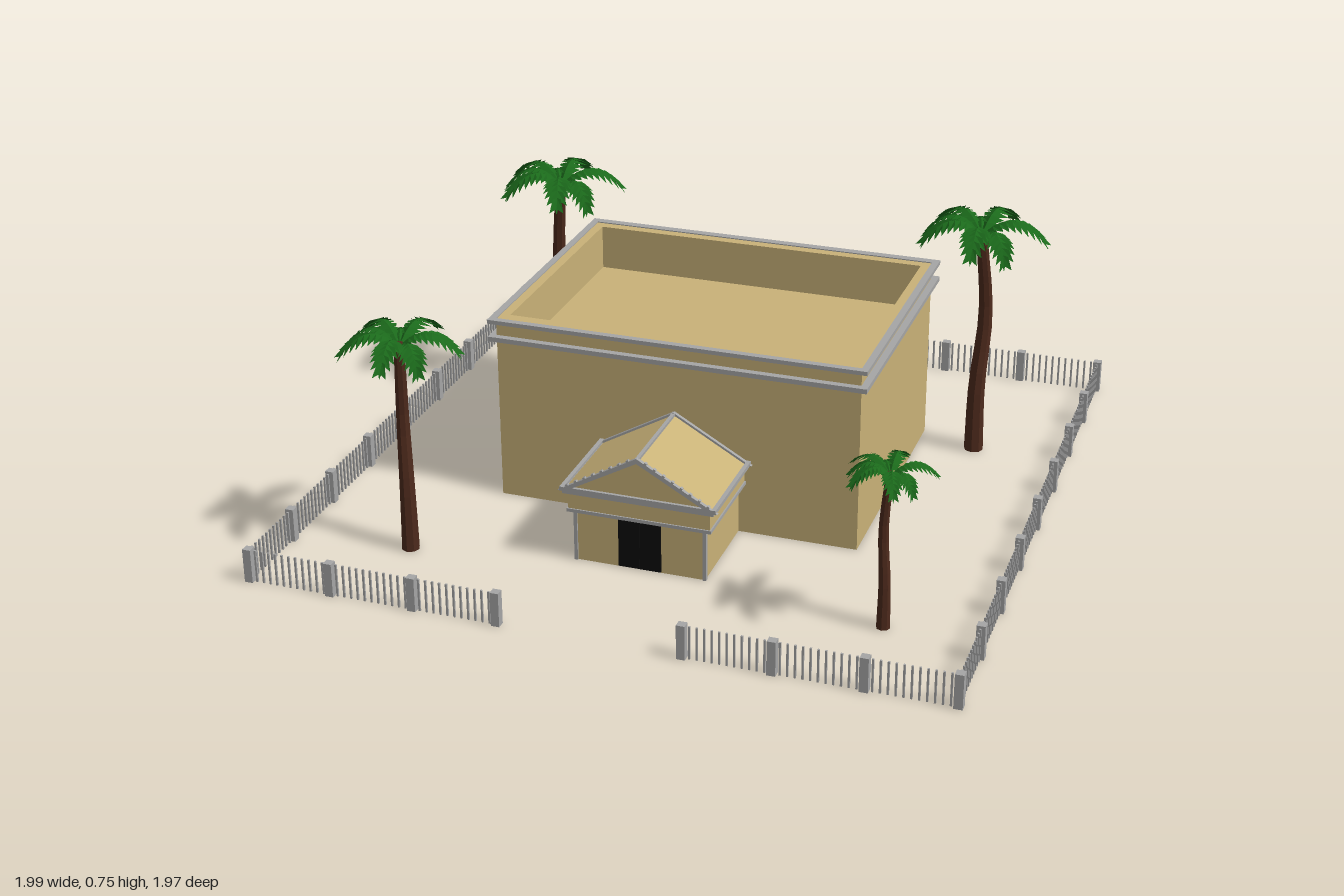
import * as THREE from 'three';
import { mergeGeometries } from 'three/addons/utils/BufferGeometryUtils.js';

const mat = (color, extra = {}) => {
  const m = new THREE.MeshStandardMaterial({ color, ...extra });
  return m;
};
const SAND = mat(0xc9b278);
const STONE = mat(0xa6a6a6);
const BLACK = mat(0x0c0c0c);
const BARK = mat(0x4d2a1c, { flatShading: true });
const LEAF = mat(0x1b6a1b, { flatShading: true, side: THREE.DoubleSide });

function add(parent, name, geometry, material) {
  const mesh = new THREE.Mesh(geometry, material);
  mesh.name = name;
  parent.add(mesh);
  return mesh;
}

// Box given by its limits on each axis
function block(x0, x1, y0, y1, z0, z1) {
  return new THREE.BoxGeometry(x1 - x0, y1 - y0, z1 - z0)
    .translate((x0 + x1) / 2, (y0 + y1) / 2, (z0 + z1) / 2);
}

// Rectangular ring lying flat; rectangles are [halfWidth, zBack, zFront]
function ring(outer, inner, y0, y1) {
  const corners = ([w, b, f]) => [[-w, -f], [w, -f], [w, -b], [-w, -b]].map(([x, y]) => new THREE.Vector2(x, y));
  const shape = new THREE.Shape(corners(outer));
  shape.holes.push(new THREE.Path(corners(inner).reverse()));
  return new THREE.ExtrudeGeometry(shape, { depth: y1 - y0, bevelEnabled: false })
    .rotateX(-Math.PI / 2).translate(0, y0, 0);
}

const gable = (halfWidth, base, apex) => [[-halfWidth, base], [halfWidth, base], [0, apex]]
  .map(([x, y]) => new THREE.Vector2(x, y));

function gableSolid(points, hole, z0, z1) {
  const shape = new THREE.Shape(points);
  if (hole) shape.holes.push(new THREE.Path(hole.slice().reverse()));
  return new THREE.ExtrudeGeometry(shape, { depth: z1 - z0, bevelEnabled: false }).translate(0, 0, z0);
}

function makeHall() {
  const g = new THREE.Group();
  g.name = 'hall';
  const wall = [0.535, -0.52, 0.28], trim = [0.555, -0.545, 0.3];
  add(g, 'hallBody', block(-0.535, 0.535, 0, 0.42, -0.52, 0.28), SAND);
  add(g, 'parapet', ring(wall, [0.508, -0.49, 0.24], 0.42, 0.555), SAND);
  add(g, 'lowerCornice', ring(trim, wall, 0.492, 0.506), STONE);
  add(g, 'upperCornice', ring(trim, wall, 0.546, 0.558), STONE);
  return g;
}

function makePorch() {
  const g = new THREE.Group();
  g.name = 'porch';
  add(g, 'porchBody', block(-0.188, 0.188, 0, 0.155, 0.28, 0.575), SAND);
  add(g, 'frieze', block(-0.205, 0.205, 0.16, 0.215, 0.28, 0.585), SAND);
  add(g, 'friezeLowerStrip', block(-0.209, 0.209, 0.152, 0.162, 0.28, 0.589), STONE);
  add(g, 'friezeUpperStrip', block(-0.218, 0.218, 0.21, 0.222, 0.28, 0.595), STONE);
  add(g, 'gableRoof', gableSolid(gable(0.216, 0.22, 0.343), null, 0.28, 0.588), SAND);
  // Raking frames at both ends of the roof
  const frame = gable(0.23, 0.219, 0.35), opening = gable(0.188, 0.23, 0.335);
  add(g, 'frontGableFrame', gableSolid(frame, opening, 0.586, 0.597), STONE);
  add(g, 'backGableFrame', gableSolid(frame, opening, 0.285, 0.296), STONE);
  add(g, 'ridge', block(-0.005, 0.005, 0.338, 0.348, 0.285, 0.597), STONE);
  for (const s of [-1, 1]) {
    const x = s * 0.219;
    add(g, 'eave', block(x - 0.006, x + 0.006, 0.218, 0.23, 0.285, 0.597), STONE);
    const p = s * 0.187;
    add(g, 'cornerStrip', block(p - 0.005, p + 0.005, 0, 0.155, 0.568, 0.58), STONE);
    add(g, 'door', block(s * 0.031 - 0.0305, s * 0.031 + 0.0305, 0.003, 0.148, 0.57, 0.58), BLACK);
    // Small studs along the raking edge
    for (let i = 1; i < 9; i++) {
      const t = i / 9;
      const stud = add(g, 'rakeStud', new THREE.BoxGeometry(0.008, 0.008, 0.01), STONE);
      stud.position.set(s * 0.228 * (1 - t), 0.221 + 0.13 * t, 0.592);
      stud.rotation.z = -s * 0.52;
    }
  }
  return g;
}

function makeFence() {
  const g = new THREE.Group();
  g.name = 'fence';
  const posts = [], pickets = [];
  const upright = (list, size, height, x, z) =>
    list.push(new THREE.BoxGeometry(size, height, size).translate(x, height / 2, z));
  // Each run goes from one post to the next, with pickets between
  const run = (x0, z0, x1, z1, sections) => {
    for (let i = 0; i <= sections * 12; i++) {
      const t = i / (sections * 12);
      const x = x0 + (x1 - x0) * t, z = z0 + (z1 - z0) * t;
      if (i % 12) upright(pickets, 0.0055, 0.096, x, z);
      else upright(posts, 0.024, 0.1, x, z);
    }
  };
  run(-0.985, -0.98, 0.985, -0.98, 8);
  for (const s of [-1, 1]) {
    run(s * 0.985, -0.98, s * 0.985, 0.97, 8);
    run(s * 0.985, 0.97, s * 0.258, 0.97, 3);
  }
  add(g, 'fencePosts', mergeGeometries(posts), STONE);
  add(g, 'fencePickets', mergeGeometries(pickets), STONE);
  return g;
}

// Arching frond along +x: a midrib with pairs of drooping pointed leaflets
function frondGeometry(length) {
  const rib = (t) => new THREE.Vector3(t * length, 0.34 * t - 0.37 * t * t, 0);
  const pos = [];
  const tri = (...v) => v.forEach((p) => pos.push(p.x, p.y, p.z));
  const n = 9;
  for (let i = 0; i < n; i++) {
    const t0 = 0.06 + 0.86 * i / n, t1 = t0 + 0.12;
    const a = rib(t0), b = rib(t1);
    const w = 0.06 * Math.sin(Math.PI * (0.18 + 0.68 * i / (n - 1))) + 0.004;
    for (const s of [-1, 1]) {
      const tip = rib(t1).add(new THREE.Vector3(0.02, -0.45 * w, s * w));
      const belly = rib(t0).add(new THREE.Vector3(0.012, -0.1 * w, s * w * 0.6));
      tri(a, b, tip);
      tri(a, tip, belly);
    }
  }
  const end = rib(0.9);
  tri(end.clone().setZ(-0.012), rib(1), end.clone().setZ(0.012));
  const geo = new THREE.BufferGeometry();
  geo.setAttribute('position', new THREE.Float32BufferAttribute(pos, 3));
  geo.computeVertexNormals();
  return geo;
}

// Palm of unit trunk height, leaning along a gentle curve
function makePalm(x, z, height, turn, bendX, bendZ) {
  const g = new THREE.Group();
  g.name = 'palm';
  const curve = new THREE.CatmullRomCurve3([
    [0, 0, 0], [0, 0.3, 0], [bendX, 0.62, bendZ], [-bendX * 0.6, 1, -bendZ * 0.6],
  ].map((p) => new THREE.Vector3(...p)));
  const trunk = new THREE.CylinderGeometry(0.024, 0.041, 1, 8, 10);
  const p = trunk.attributes.position;
  for (let i = 0; i < p.count; i++) {
    const c = curve.getPoint(Math.min(1, Math.max(0, p.getY(i) + 0.5)));
    p.setXYZ(i, p.getX(i) + c.x, c.y, p.getZ(i) + c.z);
  }
  trunk.computeVertexNormals();
  add(g, 'trunk', trunk, BARK);
  const crown = new THREE.Group();
  crown.name = 'crown';
  crown.position.copy(curve.getPoint(1)).y -= 0.015;
  [[-88, 0.28], [-16, 0.28], [30, 0.2], [72, 0.28], [132, 0.27], [165, 0.24], [206, 0.28], [240, 0.17]]
    .forEach(([angle, length], i) => {
      const frond = add(crown, 'frond', frondGeometry(length), LEAF);
      frond.rotation.set(0, -THREE.MathUtils.degToRad(angle + turn), i === 2 || i === 7 ? -0.35 : 0);
    });
  g.add(crown);
  g.position.set(x, 0, z);
  g.scale.setScalar(height);
  return g;
}

export function createModel() {
  const model = new THREE.Group();
  model.name = 'walledHall';
  model.add(makeHall(), makePorch(), makeFence());
  model.add(
    makePalm(-0.63, -0.445, 0.71, 0, -0.025, -0.035),
    makePalm(0.705, -0.445, 0.71, 15, 0.015, -0.035),
    makePalm(-0.65, 0.665, 0.63, 10, -0.012, -0.02),
    makePalm(0.71, 0.66, 0.46, 0, -0.02, -0.015),
  );
  return model;
}
